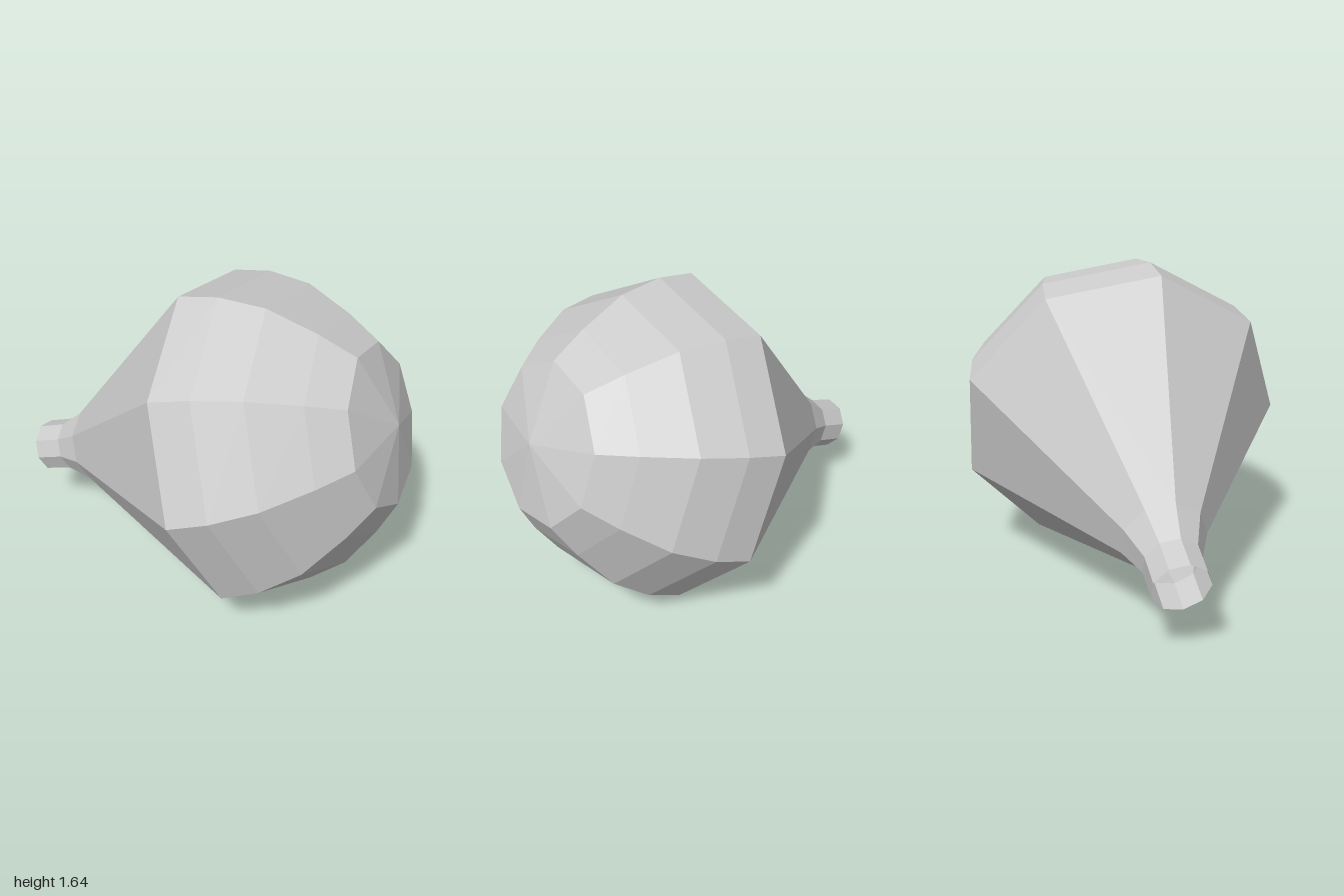
import * as THREE from 'three';

const SIDES = 9;

export function createModel() {
  const group = new THREE.Group();
  const material = new THREE.MeshStandardMaterial({
    color: 0xcccccc, flatShading: true, side: THREE.DoubleSide,
  });

  // Faceted part turned around the local y axis; profile is [radius, height] pairs
  const turned = (name, profile) => {
    const points = profile.map(([r, h]) => new THREE.Vector2(r, h));
    const mesh = new THREE.Mesh(new THREE.LatheGeometry(points, SIDES), material);
    mesh.name = name;
    group.add(mesh);
  };

  // Open neck flaring into the cone
  turned('neck', [[0.143, 0], [0.145, 0.166], [0.213, 0.329]]);
  turned('cone', [[0.213, 0.329], [0.863, 1.3]]);

  // Rounded dome closing the wide end
  turned('dome', [
    [0.863, 1.3], [0.829, 1.506], [0.735, 1.727],
    [0.56, 1.936], [0.41, 2.08], [0, 2.162],
  ]);

  // Lay the bulb down: its axis runs right, up and back from the neck opening
  const axis = new THREE.Vector3(0.834, 0.331, -0.442).normalize();
  const side = new THREE.Vector3(0.396, 0.007, 0.755);
  side.addScaledVector(axis, -side.dot(axis)).normalize();
  const across = new THREE.Vector3().crossVectors(axis, side);
  group.quaternion.setFromRotationMatrix(new THREE.Matrix4().makeBasis(across, axis, side));
  group.position.set(-0.93, 0.372, 0.62);

  const model = new THREE.Group();
  group.name = 'bulb';
  model.add(group);
  return model;
}
